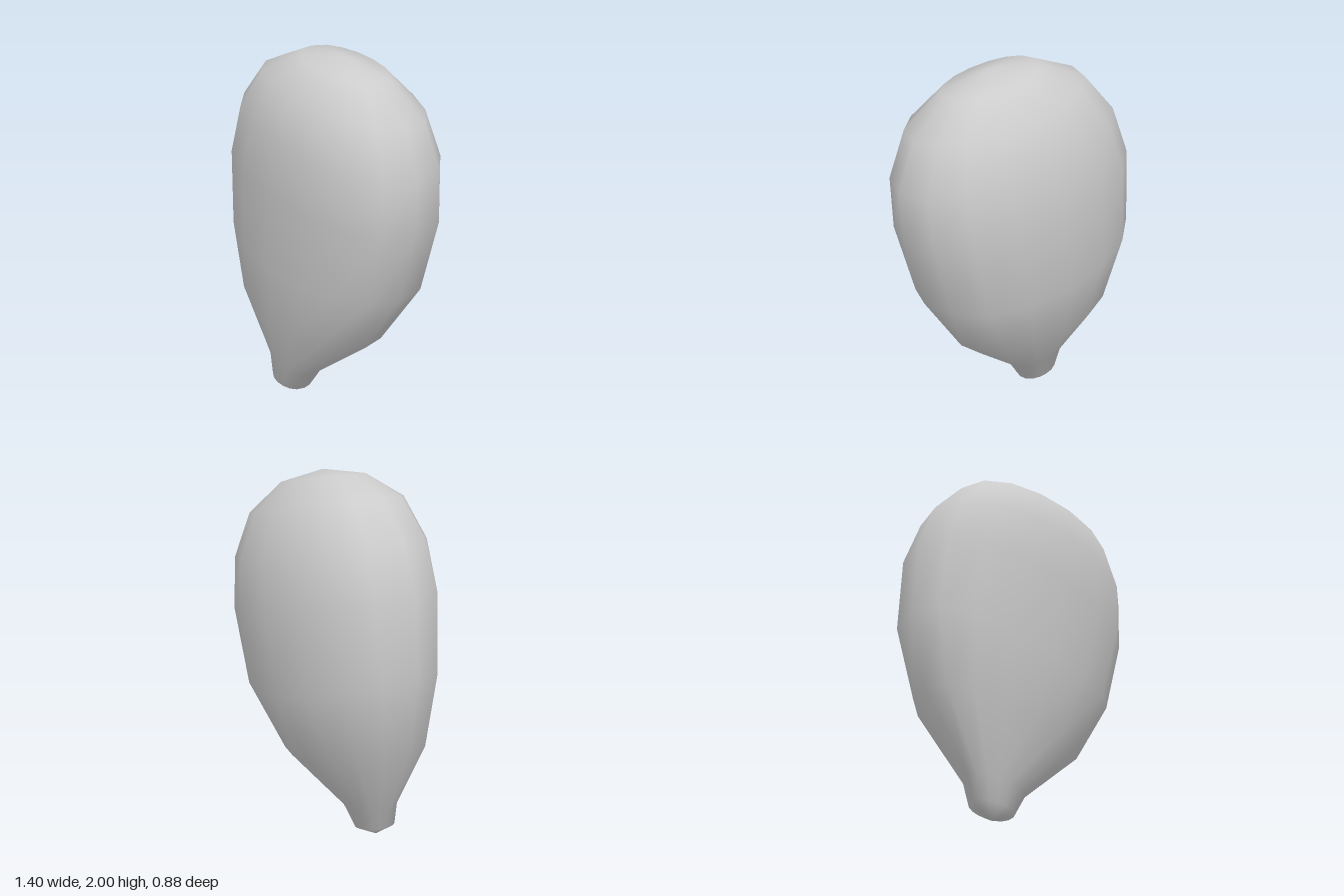
import * as THREE from 'three';

const SIDES = 16;

// Tilted cross-sections, from the stalk up to the crown:
// left x, left y, right x, right y, centre z, front z, back z, sag of the middle
const SECTIONS = [
  [-0.35, 0.08, -0.12, 0.03, 0.12, 0.225, 0.02, 0],
  [-0.38, 0.21, -0.04, 0.15, 0.11, 0.235, -0.02, 0],
  [-0.62, 0.63, 0.34, 0.44, 0.05, 0.35, -0.26, -0.04],
  [-0.70, 1.04, 0.58, 0.79, 0.03, 0.405, -0.40, -0.06],
  [-0.67, 1.45, 0.69, 1.18, 0.03, 0.44, -0.435, -0.01],
  [-0.57, 1.71, 0.70, 1.46, 0.03, 0.43, -0.40, 0],
  [-0.39, 1.91, 0.61, 1.71, 0.03, 0.37, -0.31, 0],
  [-0.14, 2.00, 0.41, 1.90, 0.035, 0.22, -0.15, 0],
];
const TIP = [-0.24, 0, 0.13];
const CROWN = [0.14, 1.995, 0.04];

// Slightly squared oval, fuller at the front and back than an ellipse
function sectionPoint([lx, ly, rx, ry, cz, front, back, sag], angle) {
  const c = Math.cos(angle), s = Math.sin(angle);
  const t = (1 + c) / 2;
  const bulge = Math.pow(Math.abs(s), 0.85);
  return [
    lx + (rx - lx) * t,
    ly + (ry - ly) * t + sag * s * s,
    cz + bulge * ((s > 0 ? front : back) - cz),
  ];
}

function seedGeometry() {
  const positions = [], index = [];
  for (const section of SECTIONS) {
    for (let j = 0; j < SIDES; j++) {
      positions.push(...sectionPoint(section, (j / SIDES) * Math.PI * 2));
    }
  }
  const tip = SECTIONS.length * SIDES, crown = tip + 1;
  positions.push(...TIP, ...CROWN);

  const last = SECTIONS.length - 1;
  for (let j = 0; j < SIDES; j++) {
    const k = (j + 1) % SIDES;
    // Side wall
    for (let i = 0; i < last; i++) {
      const a = i * SIDES + j, b = i * SIDES + k;
      index.push(a, a + SIDES, b, b, a + SIDES, b + SIDES);
    }
    // Closing fans at the stalk tip and the crown
    index.push(tip, j, k);
    index.push(last * SIDES + j, crown, last * SIDES + k);
  }

  const geometry = new THREE.BufferGeometry();
  geometry.setAttribute('position', new THREE.Float32BufferAttribute(positions, 3));
  geometry.setIndex(index);
  geometry.computeVertexNormals();
  return geometry;
}

export function createModel() {
  const group = new THREE.Group();
  group.name = 'seed';
  const material = new THREE.MeshStandardMaterial({ color: 0xcccccc });
  const body = new THREE.Mesh(seedGeometry(), material);
  body.name = 'seedBody';
  group.add(body);
  return group;
}
